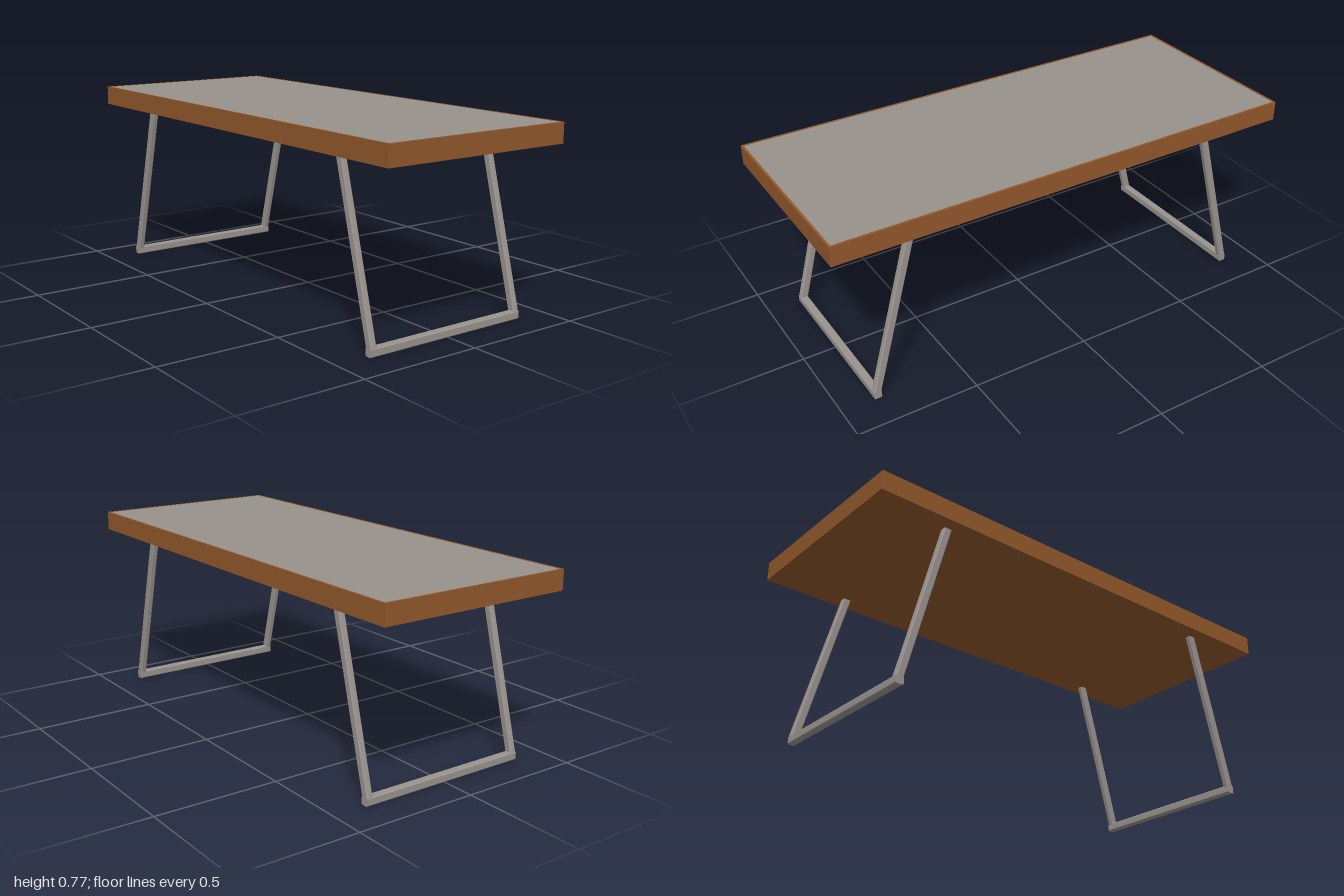
import * as THREE from 'three';

const wood = new THREE.MeshStandardMaterial({ color: 0x92582b });
wood.name = 'brown wood';
const concrete = new THREE.MeshStandardMaterial({ color: 0x98918b });
concrete.name = 'grey concrete';
const metal = new THREE.MeshStandardMaterial({ color: 0x9a948f });
metal.name = 'grey metal';

// Rectangle with chamfered corners, centred on the origin
function chamferedRect(w, h, c) {
  const a = w / 2, b = h / 2;
  return new THREE.Shape([
    [-a + c, -b], [a - c, -b], [a, -b + c], [a, b - c],
    [a - c, b], [-a + c, b], [-a, b - c], [-a, -b + c],
  ].map(([x, y]) => new THREE.Vector2(x, y)));
}

function add(parent, name, geometry, material, x = 0, y = 0, z = 0) {
  const mesh = new THREE.Mesh(geometry, material);
  mesh.name = name;
  mesh.position.set(x, y, z);
  parent.add(mesh);
  return mesh;
}

const extrude = (shape, depth) =>
  new THREE.ExtrudeGeometry(shape, { depth, bevelEnabled: false });

// Slanted tube leg: horizontal section sheared towards the table centre
function legGeometry(y0, y1, lean) {
  const g = extrude(chamferedRect(0.034, 0.027, 0.005), y1 - y0);
  g.rotateX(-Math.PI / 2);
  const p = g.attributes.position;
  for (let i = 0; i < p.count; i++) p.setX(i, p.getX(i) + lean * p.getY(i) / (y1 - y0));
  g.computeVertexNormals();
  return g;
}

export function createModel() {
  const group = new THREE.Group();
  group.name = 'table';

  // Table top: wooden frame around a concrete inlay
  const W = 2, D = 0.826, bottom = 0.69, top = 0.77, rim = 0.009;
  const frame = chamferedRect(W, D, 0);
  const a = W / 2 - rim, b = D / 2 - rim;
  frame.holes.push(new THREE.Path([
    new THREE.Vector2(-a, -b), new THREE.Vector2(-a, b),
    new THREE.Vector2(a, b), new THREE.Vector2(a, -b),
  ]));
  add(group, 'woodenRim', extrude(frame, top - bottom).rotateX(-Math.PI / 2), wood, 0, bottom);
  add(group, 'underside', new THREE.BoxGeometry(2 * a, 0.04, 2 * b), wood, 0, bottom + 0.02);
  add(group, 'concreteInlay', new THREE.BoxGeometry(2 * a, 0.039, 2 * b), concrete, 0, bottom + 0.0595);

  // U-shaped tube leg frames, one at each end
  for (const side of [-1, 1]) {
    const legs = new THREE.Group();
    legs.name = side > 0 ? 'leftLegFrame' : 'rightLegFrame';
    group.add(legs);
    add(legs, 'floorRail', extrude(chamferedRect(0.032, 0.033, 0.004), 0.726), metal,
      side * 0.85, 0.0165, -0.363);
    for (const z of [-0.3495, 0.3495]) {
      add(legs, 'slantedLeg', legGeometry(0.028, 0.687, -side * 0.179), metal, side * 0.85, 0.028, z);
    }
  }
  return group;
}
